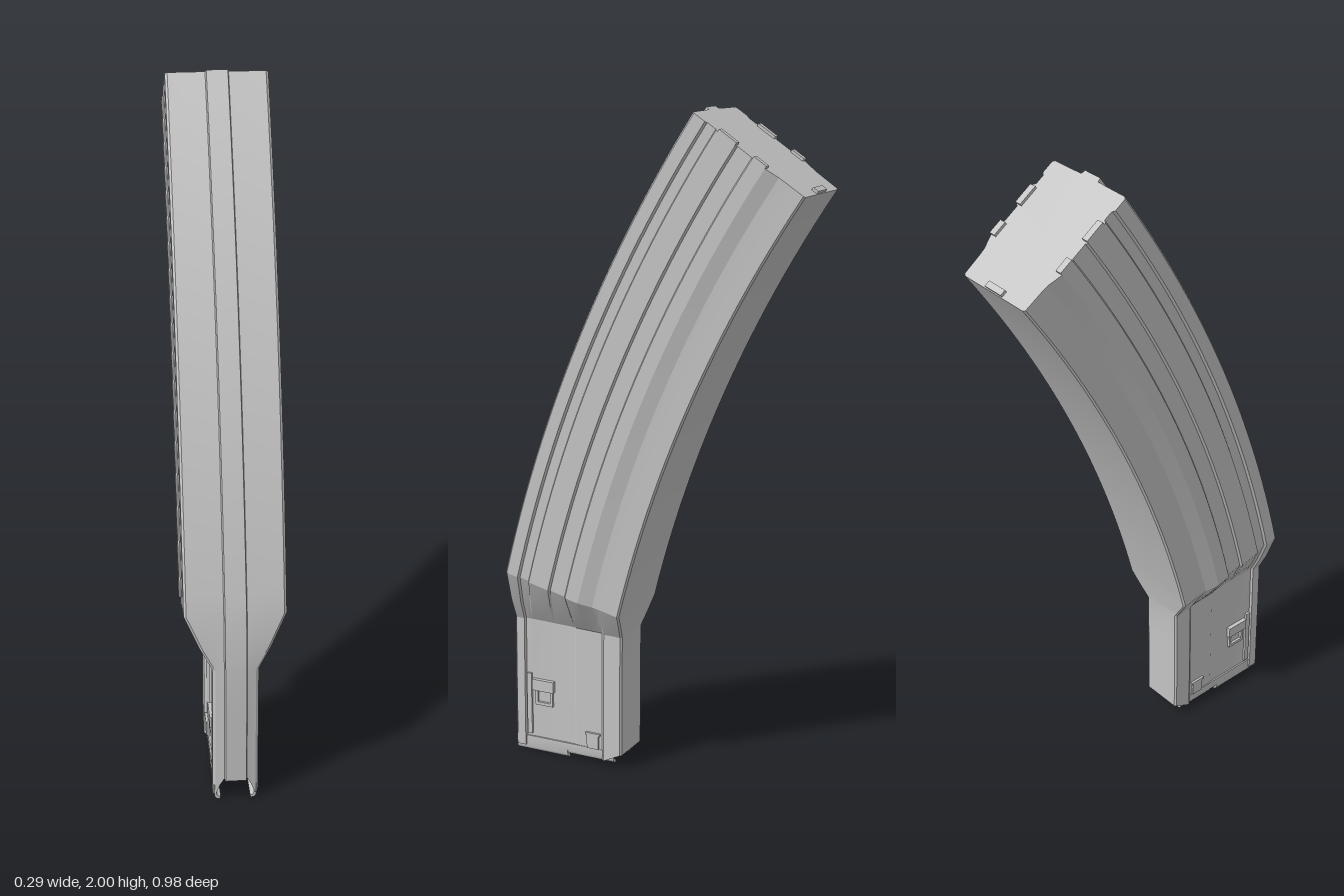
import * as THREE from 'three';
import { toCreasedNormals } from 'three/addons/utils/BufferGeometryUtils.js';

// Half cross-section, front to back: [depth, half width] for the wide and the narrow part
const WIDE = [[0, .03], [.012, .033], [.013, .06], [.014, .138], [.02, .145], [.058, .145], [.063, .137],
  [.093, .137], [.098, .145], [.166, .145], [.171, .138], [.221, .138], [.226, .145], [.27, .145],
  [.312, .13], [.335, .128], [.395, .126], [.4, .12]];
const NARROW = [[0, .03], [.013, .033], [.016, .045], [.018, .058], [.024, .066], [.052, .066], [.055, .058],
  [.074, .058], [.08, .057], [.15, .057], [.155, .057], [.225, .057], [.23, .06], [.27, .06],
  [.32, .06], [.33, .068], [.385, .068], [.39, .062]];

const R = 4.42, A0 = 14.2 * Math.PI / 180, A1 = 34 * Math.PI / 180;
const arcPoint = a => ({
  z: .465 + R * (Math.cos(a) - Math.cos(A0)),
  y: .612 + R * (Math.sin(a) - Math.sin(A0)), a, w: 1 });

// One closed ring of points around the tube
function ring({ z, y, a, w, cut }) {
  const half = WIDE.map(([d, x], i) => {
    const u = THREE.MathUtils.lerp(NARROW[i][0], d, w);
    const h = THREE.MathUtils.lerp(NARROW[i][1], x, w);
    const py = cut ? cut(u) : y - u * Math.sin(a);
    return new THREE.Vector3(h, py, z - u * Math.cos(a));
  });
  const mirror = half.map(p => new THREE.Vector3(-p.x, p.y, p.z)).reverse();
  return [...half, ...mirror];
}

function sweep(frames) {
  const rings = frames.map(ring), n = rings[0].length, pos = [], idx = [];
  rings.flat().forEach(p => pos.push(p.x, p.y, p.z));
  for (let i = 0; i < rings.length - 1; i++)
    for (let j = 0; j < n; j++) {
      const k = (j + 1) % n, a = i * n + j, b = i * n + k;
      idx.push(a, b, b + n, a, b + n, a + n);
    }
  // end plate fanned around the middle of the last ring
  const last = rings[rings.length - 1], base = (rings.length - 1) * n;
  const c = last[0].clone().lerp(last[n / 2], .5);
  pos.push(0, c.y, c.z);
  for (let j = 0; j < n; j++) idx.push(base + n, base + j, base + (j + 1) % n);
  const g = new THREE.BufferGeometry();
  g.setAttribute('position', new THREE.Float32BufferAttribute(pos, 3));
  g.setIndex(idx);
  return toCreasedNormals(g, .25);
}

export function createModel() {
  const model = new THREE.Group();
  const steel = new THREE.MeshStandardMaterial({ color: 0xc4c4c4, side: THREE.DoubleSide });
  steel.name = 'grey metal';
  const add = (name, geo, parent = model) => {
    const m = new THREE.Mesh(geo, steel);
    m.name = name;
    parent.add(m);
    return m;
  };
  const box = (name, w, h, d, x, y, z, parent) =>
    add(name, new THREE.BoxGeometry(w, h, d), parent).position.set(x, y, z);

  // Straight neck, flared shoulder and curved ribbed body
  const frames = [
    { z: .49, a: 0, w: 0, cut: u => u < .014 ? .075 : u < .017 ? .052 : u > .38 ? .045 : .018 },
    { z: .488, y: .3, a: 0, w: 0 },
    { z: .486, y: .44, a: .03, w: 0 },
    { z: .479, y: .51, a: .11, w: .45 },
  ];
  for (let i = 0; i <= 24; i++) frames.push(arcPoint(A0 + (A1 - A0) * i / 24));
  add('body', sweep(frames));

  // Small folded tabs on the end plate
  const top = arcPoint(A1), end = new THREE.Group();
  end.name = 'endTabs';
  end.position.set(0, top.y, top.z);
  end.rotation.x = -A1;
  model.add(end);
  for (const s of [1, -1]) {
    box('sideTab', .02, .01, .062, s * .135, .003, -.134, end);
    box('sideTab', .02, .01, .044, s * .135, .003, -.248, end);
  }
  box('backTab', .066, .01, .018, 0, .003, -.388, end);

  // Curled lips along the open lower end
  const lip = (s, from, to, low) => {
    const shape = new THREE.Shape();
    shape.moveTo(s * .062, .05);
    shape.lineTo(s * .062, low + .018);
    shape.quadraticCurveTo(s * .061, low, s * .046, low);
    shape.lineTo(s * .043, low + .008);
    shape.quadraticCurveTo(s * .054, low + .008, s * .055, low + .02);
    shape.lineTo(s * .055, .05);
    const g = new THREE.ExtrudeGeometry(shape, { depth: to - from, bevelEnabled: false, curveSegments: 6 });
    add('feedLip', toCreasedNormals(g.translate(0, 0, from), .5));
  };

  for (const s of [1, -1]) {
    lip(s, .29, .47, 0);
    lip(s, .13, .29, .012);
    // Raised catch with a framed window below it
    box('catchTop', .014, .036, .075, s * .063, .226, .372);
    box('catchBottom', .01, .01, .06, s * .06, .165, .37);
    for (const z of [.396, .344]) box('catchSide', .01, .045, .008, s * .06, .188, z);
    // Stop near the lower back corner
    box('stopTab', .012, .045, .04, s * .06, .072, .2);
    box('stopRim', .015, .008, .05, s * .06, .097, .2);
    // Seam strip beside the front rib
    box('seamStrip', .01, .2, .016, s * .06, .16, .422);
  }
  return model;
}
